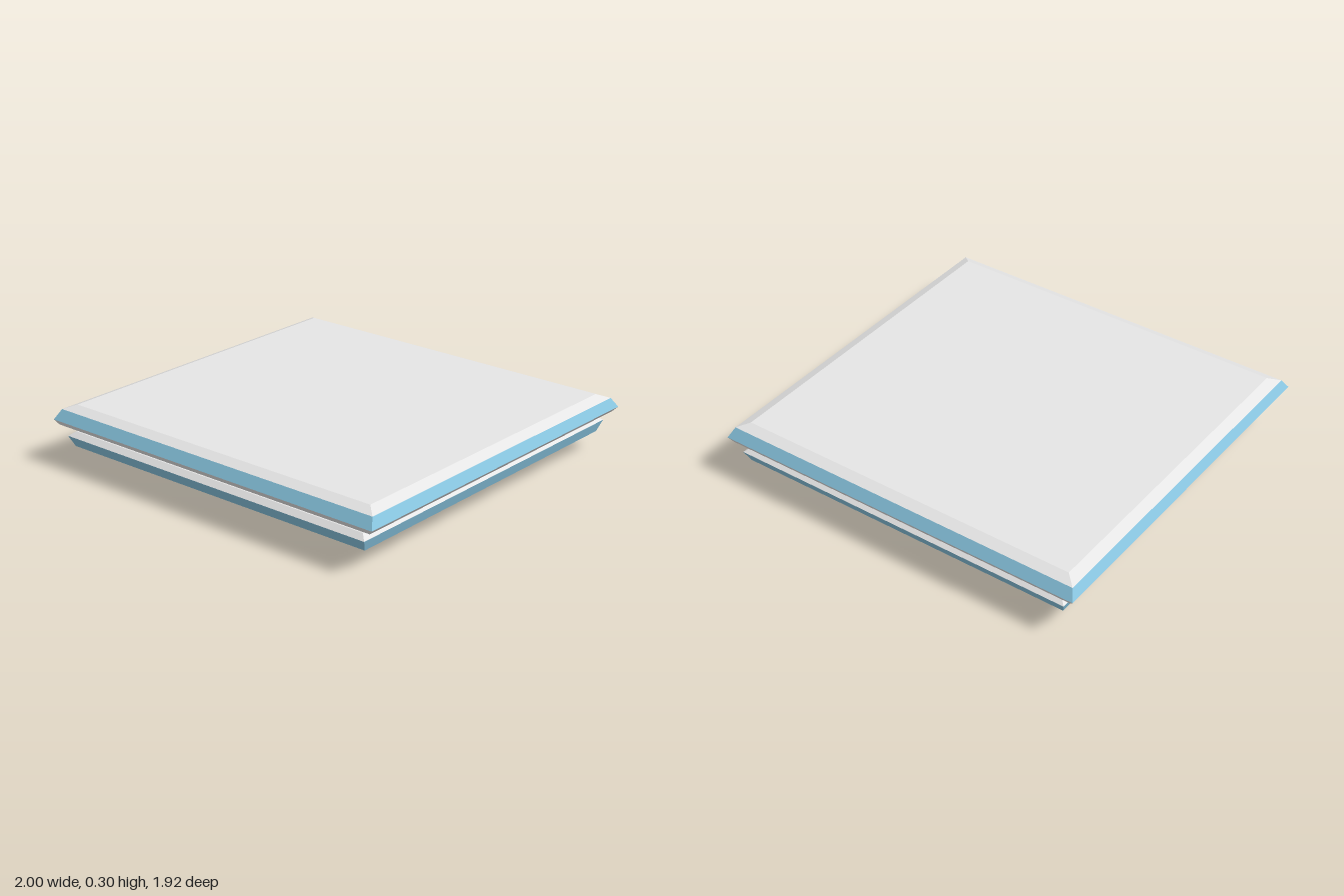
import * as THREE from 'three';

const mat = (name, color) => {
  const m = new THREE.MeshStandardMaterial({ color });
  m.name = name;
  return m;
};

// Corners of a rectangle ring [y, half width, half depth]
const corners = ([y, hx, hz]) => [[hx, y, hz], [hx, y, -hz], [-hx, y, -hz], [-hx, y, hz]];

// Flat-shaded mesh from four-cornered faces
function quads(name, faces, material) {
  const pos = faces.flatMap(([a, b, c, d]) => [a, b, c, a, c, d]).flat();
  const geo = new THREE.BufferGeometry();
  geo.setAttribute('position', new THREE.Float32BufferAttribute(pos, 3));
  geo.computeVertexNormals();
  const mesh = new THREE.Mesh(geo, material);
  mesh.name = name;
  return mesh;
}

// Sloped walls between two rings
function band(name, lower, upper, material) {
  const lo = corners(lower), hi = corners(upper);
  const faces = lo.map((p, i) => [p, lo[(i + 1) % 4], hi[(i + 1) % 4], hi[i]]);
  return quads(name, faces, material);
}

// Flat lid on a ring, facing up or down
function cap(name, ring, up, material) {
  const c = corners(ring);
  return quads(name, [up ? c : c.reverse()], material);
}

// Stacked bands closed at both ends
function slab(name, rings, bandMats, bottomMat, topMat) {
  const group = new THREE.Group();
  group.name = name;
  bandMats.forEach((m, i) => group.add(band(name + 'Band' + (i + 1), rings[i], rings[i + 1], m)));
  group.add(cap(name + 'Bottom', rings[0], false, bottomMat));
  group.add(cap(name + 'Top', rings[rings.length - 1], true, topMat));
  return group;
}

export function createModel() {
  const grey = mat('light grey', 0xe6e6e6);
  const blue = mat('sky blue', 0x8ac8e3);
  const red = mat('dark red', 0xa80000);
  const black = mat('black', 0x040404);
  const footGrey = mat('foot grey', 0xe2dee2);

  const model = new THREE.Group();
  model.name = 'platform';

  // Upper slab with a blue rim
  model.add(slab('upperSlab', [
    [0.17, 0.905, 0.87], [0.2, 0.977, 0.947], [0.225, 1, 0.962], [0.275, 0.975, 0.927], [0.297, 0.92, 0.875],
  ], [grey, grey, blue, grey], grey, grey));

  // Lower slab with a blue rim and red underside
  model.add(slab('lowerSlab', [
    [0.06, 0.86, 0.842], [0.09, 0.915, 0.905], [0.147, 0.935, 0.933], [0.17, 0.905, 0.905],
  ], [grey, blue, grey], red, grey));

  // Six tapered feet, open below, with a black panel inside each
  for (const x of [-0.577, 0, 0.577]) {
    for (const z of [-0.423, 0.423]) {
      const foot = new THREE.Group();
      foot.name = 'foot';
      foot.add(band('footWalls', [0, 0.21, 0.238], [0.06, 0.222, 0.262], footGrey));
      foot.add(cap('footPanel', [0.057, 0.217, 0.253], false, black));
      foot.position.set(x, 0, z);
      model.add(foot);
    }
  }
  return model;
}
